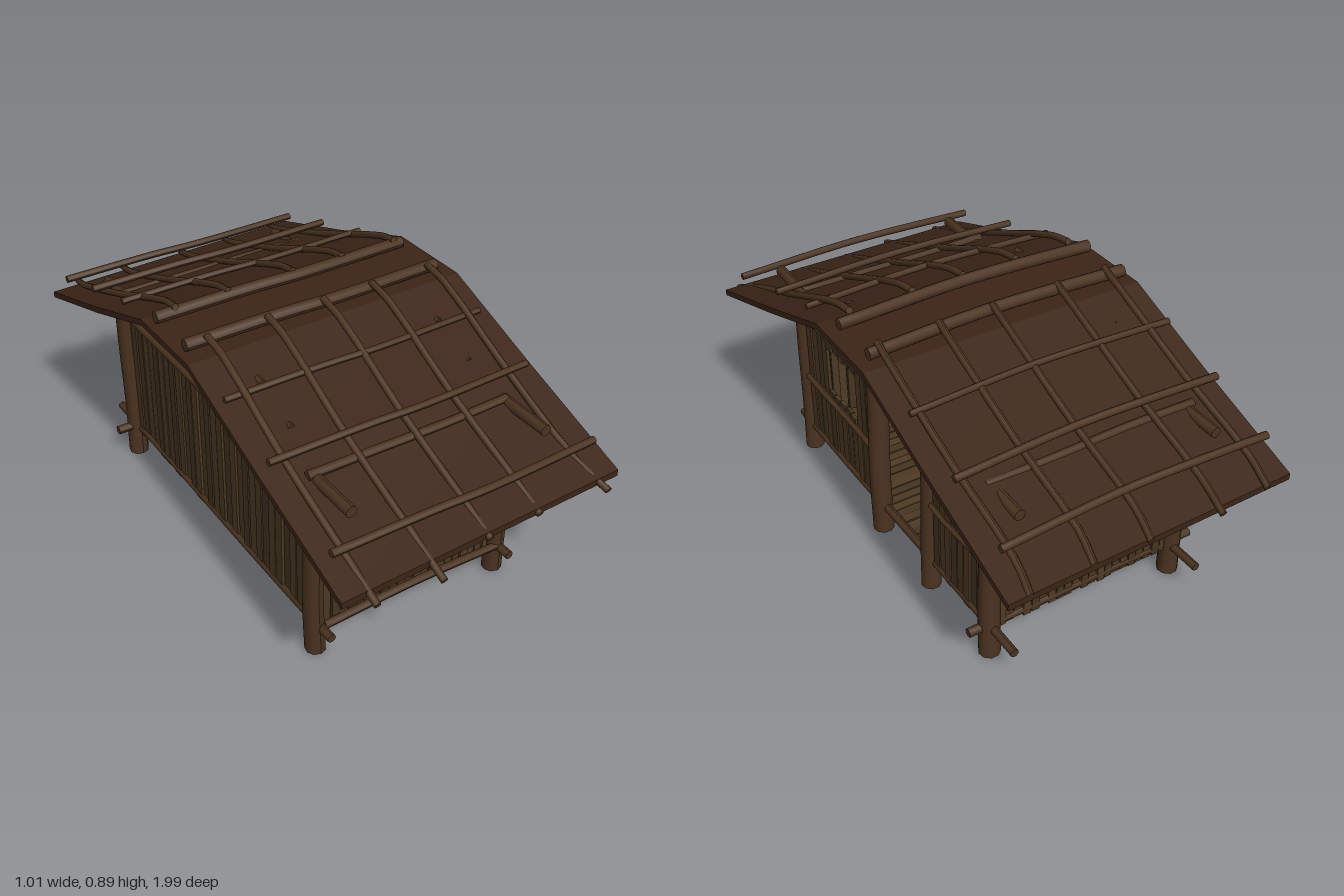
import * as THREE from 'three';

const wood = new THREE.MeshStandardMaterial({ color: 0x4a3320 });
const plankMats = [0x4b3822, 0x453420, 0x4f3b25].map(color => new THREE.MeshStandardMaterial({ color }));
const thatch = new THREE.MeshStandardMaterial({ color: 0x3c2518, flatShading: true });

export function createModel() {
  const model = new THREE.Group();
  let seed = 7;
  const rnd = () => (seed = (seed * 16807) % 2147483647) / 2147483647;
  const wobble = s => (rnd() - 0.5) * 2 * s;

  const group = name => {
    const g = new THREE.Group();
    g.name = name;
    model.add(g);
    return g;
  };

  // Rough round pole: a capped cylinder swept along a soft curve
  function pole(parent, name, pts, r, bend = 0.004) {
    let p = pts.map(a => new THREE.Vector3(...a));
    if (p.length === 2) {
      const mids = [0.33, 0.67].map(t => p[0].clone().lerp(p[1], t)
        .add(new THREE.Vector3(wobble(bend), wobble(bend), wobble(bend))));
      p = [p[0], ...mids, p[1]];
    }
    const curve = new THREE.CatmullRomCurve3(p);
    const dir = p[p.length - 1].clone().sub(p[0]).normalize();
    const q = new THREE.Quaternion().setFromUnitVectors(new THREE.Vector3(0, 1, 0), dir);
    const geo = new THREE.CylinderGeometry(r * 0.95, r, 1, 9, 12);
    const pos = geo.attributes.position;
    const v = new THREE.Vector3();
    for (let i = 0; i < pos.count; i++) {
      const t = THREE.MathUtils.clamp(pos.getY(i) + 0.5, 0, 1);
      v.set(pos.getX(i), 0, pos.getZ(i)).applyQuaternion(q).add(curve.getPoint(t));
      pos.setXYZ(i, v.x, v.y, v.z);
    }
    geo.computeVertexNormals();
    const m = new THREE.Mesh(geo, wood);
    m.name = name;
    parent.add(m);
  }

  // Row of upright planks running along x or z
  function planks(parent, axis, at, from, to, y0, y1, width = 0.035, gap = 0.003) {
    const n = Math.max(1, Math.round((to - from) / width)), step = (to - from) / n;
    for (let i = 0; i < n; i++) {
      const w = step - gap - rnd() * 0.002, lo = y0 - rnd() * 0.005, hi = y1 + wobble(0.004);
      const m = new THREE.Mesh(new THREE.BoxGeometry(w, hi - lo, 0.012), plankMats[i % 3]);
      const c = from + (i + 0.5) * step, d = at + wobble(0.004);
      if (axis === 'x') m.position.set(c, (lo + hi) / 2, d);
      else {
        m.position.set(d, (lo + hi) / 2, c);
        m.rotation.y = Math.PI / 2;
      }
      m.name = 'plank';
      parent.add(m);
    }
  }

  // Corner posts and the two door posts
  const posts = group('posts');
  for (const [x, z, r, h] of [[-0.357, 0.59, 0.034, 0.64], [0.342, 0.59, 0.034, 0.64],
    [-0.357, -0.63, 0.036, 0.64], [0.342, -0.63, 0.036, 0.64],
    [0.345, 0.045, 0.037, 0.65], [0.345, -0.28, 0.034, 0.65]])
    pole(posts, 'post', [[x, 0, z], [x - 0.008, h, z + 0.006]], r, 0.006);

  // Bottom and top rails around the frame
  const rails = group('rails');
  for (const x of [-0.35, 0.342]) {
    pole(rails, 'sillRail', [[x, 0.1, 0.67], [x, 0.115, -0.77]], 0.015);
    pole(rails, 'wallRail', [[x, 0.575, 0.77], [x, 0.575, -0.77]], 0.014);
    pole(rails, 'topBeam', [[x - 0.005, 0.66, 0.765], [x - 0.005, 0.655, -0.77]], 0.019);
  }
  pole(rails, 'frontSill', [[-0.34, 0.105, 0.615], [-0.17, 0.112, 0.615], [0.02, 0.12, 0.618], [0.33, 0.108, 0.615]], 0.014);
  pole(rails, 'backSill', [[-0.435, 0.117, -0.625], [0.415, 0.11, -0.625]], 0.016);
  pole(rails, 'frontCrossRail', [[-0.38, 0.572, 0.59], [0.38, 0.572, 0.59]], 0.017);
  pole(rails, 'backCrossRail', [[-0.38, 0.572, -0.62], [0.38, 0.572, -0.62]], 0.017);
  pole(rails, 'frontTie', [[-0.38, 0.672, 0.58], [0.34, 0.67, 0.58]], 0.015);
  pole(rails, 'backTie', [[-0.38, 0.668, -0.63], [0.36, 0.672, -0.63]], 0.015);

  // Inner roof frame
  const truss = group('roofFrame');
  for (const x of [-0.33, 0.32]) {
    pole(truss, 'strut', [[x, 0.65, 0.25], [x, 0.78, 0.25]], 0.018);
    pole(truss, 'strut', [[x, 0.65, -0.27], [x, 0.78, -0.27]], 0.018);
    pole(truss, 'collar', [[x, 0.72, 0.42], [x, 0.715, -0.42]], 0.012);
    pole(truss, 'upperCollar', [[x, 0.782, 0.26], [x, 0.782, -0.3]], 0.013);
  }
  for (const z of [0.25, -0.27]) pole(truss, 'crossPole', [[-0.36, 0.77, z], [0.36, 0.77, z]], 0.013);

  // Front, back and solid left walls
  planks(group('frontWall'), 'x', 0.59, -0.335, 0.318, 0.098, 0.58, 0.031);
  planks(group('backWall'), 'x', -0.63, -0.335, 0.318, 0.098, 0.58, 0.031);
  planks(group('leftWall'), 'z', -0.35, -0.6, 0.565, 0.098, 0.575, 0.04, 0.004);

  // Right wall: window panel, open doorway, rear panel
  const right = group('rightWall');
  planks(right, 'z', 0.343, 0.08, 0.56, 0.1, 0.33, 0.04);
  planks(right, 'z', 0.343, 0.08, 0.2, 0.33, 0.57, 0.04);
  planks(right, 'z', 0.343, 0.4, 0.56, 0.33, 0.57, 0.04);
  planks(right, 'z', 0.343, 0.2, 0.4, 0.33, 0.365, 0.04);
  planks(right, 'z', 0.343, 0.2, 0.4, 0.545, 0.575, 0.04);
  planks(right, 'z', 0.343, -0.6, -0.31, 0.1, 0.57, 0.038);
  pole(right, 'windowRail', [[0.356, 0.335, 0.555], [0.356, 0.33, 0.08]], 0.012);
  pole(right, 'panelRail', [[0.356, 0.36, -0.31], [0.356, 0.355, -0.4], [0.356, 0.368, -0.6]], 0.01);

  // Floor slats laid across the hut
  const floor = group('floor');
  const count = 34;
  for (let i = 0; i < count; i++) {
    const step = 1.2 / count;
    const m = new THREE.Mesh(new THREE.BoxGeometry(0.68 + wobble(0.01), 0.012, step - 0.003), plankMats[i % 3]);
    m.position.set(-0.005, 0.104 + wobble(0.003), -0.62 + (i + 0.5) * step);
    m.rotation.y = wobble(0.004);
    m.name = 'floorSlat';
    floor.add(m);
  }

  // Folded roof sheet with a flat crown
  const top = [[0.93, 0.545], [0.5, 0.695], [0.12, 0.836], [-0.19, 0.836], [-0.55, 0.705], [-0.96, 0.57]];
  const shape = new THREE.Shape();
  top.forEach(([z, y], i) => (i ? shape.lineTo(-z, y) : shape.moveTo(-z, y)));
  [...top].reverse().forEach(([z, y]) => shape.lineTo(-z, y - 0.022));
  const roofGeo = new THREE.ExtrudeGeometry(shape, { depth: 1, bevelEnabled: false });
  roofGeo.translate(0, 0, -0.5).rotateY(Math.PI / 2);
  const rp = roofGeo.attributes.position;
  for (let i = 0; i < rp.count; i++) {
    const x = rp.getX(i), z = rp.getZ(i);
    rp.setY(i, rp.getY(i) + x * 0.01);
    rp.setZ(i, z - x * 0.02 * Math.abs(z));
    rp.setX(i, x - z * 0.004);
  }
  roofGeo.computeVertexNormals();
  const roof = new THREE.Mesh(roofGeo, thatch);
  roof.name = 'roof';
  model.add(roof);

  // Pole lattice lying over each slope: long purlins and bent rafters
  const lattice = group('roofLattice');
  for (const [z, y, r] of [[0.065, 0.86, 0.021], [0.3, 0.8, 0.011], [0.54, 0.73, 0.012], [0.855, 0.632, 0.013],
    [-0.125, 0.86, 0.021], [-0.37, 0.798, 0.011], [-0.61, 0.73, 0.013], [-0.845, 0.658, 0.013]])
    pole(lattice, 'purlin', [[-0.475, y - 0.004, z - 0.01], [-0.15, y + 0.004, z], [0.05, y + 0.003, z + 0.006],
      [0.455, y - 0.002, z - 0.01]], r);
  for (const [x, end] of [[-0.41, 0.975], [-0.2, 0.99], [0, 0.94], [0.185, 0.935], [0.405, 0.955]])
    pole(lattice, 'frontRafter', [[x, 0.88, 0.075], [x, 0.86, 0.17], [x - 0.008, 0.706, 0.52],
      [x - 0.004, 0.575, 0.83], [x + (x > 0.3 ? 0.025 : -0.003), 0.89 - end * 0.385, end]], 0.012);
  for (const [x, end] of [[-0.405, 0.97], [-0.22, 0.99], [0.02, 0.97], [0.21, 0.965], [0.42, 0.97]])
    pole(lattice, 'backRafter', [[x - 0.005, 0.88, -0.12], [x + 0.003, 0.858, -0.21], [x, 0.716, -0.56],
      [x - 0.005, 0.61, -0.86], [x + 0.015, 0.572, -end]], 0.012);
  return model;
}
